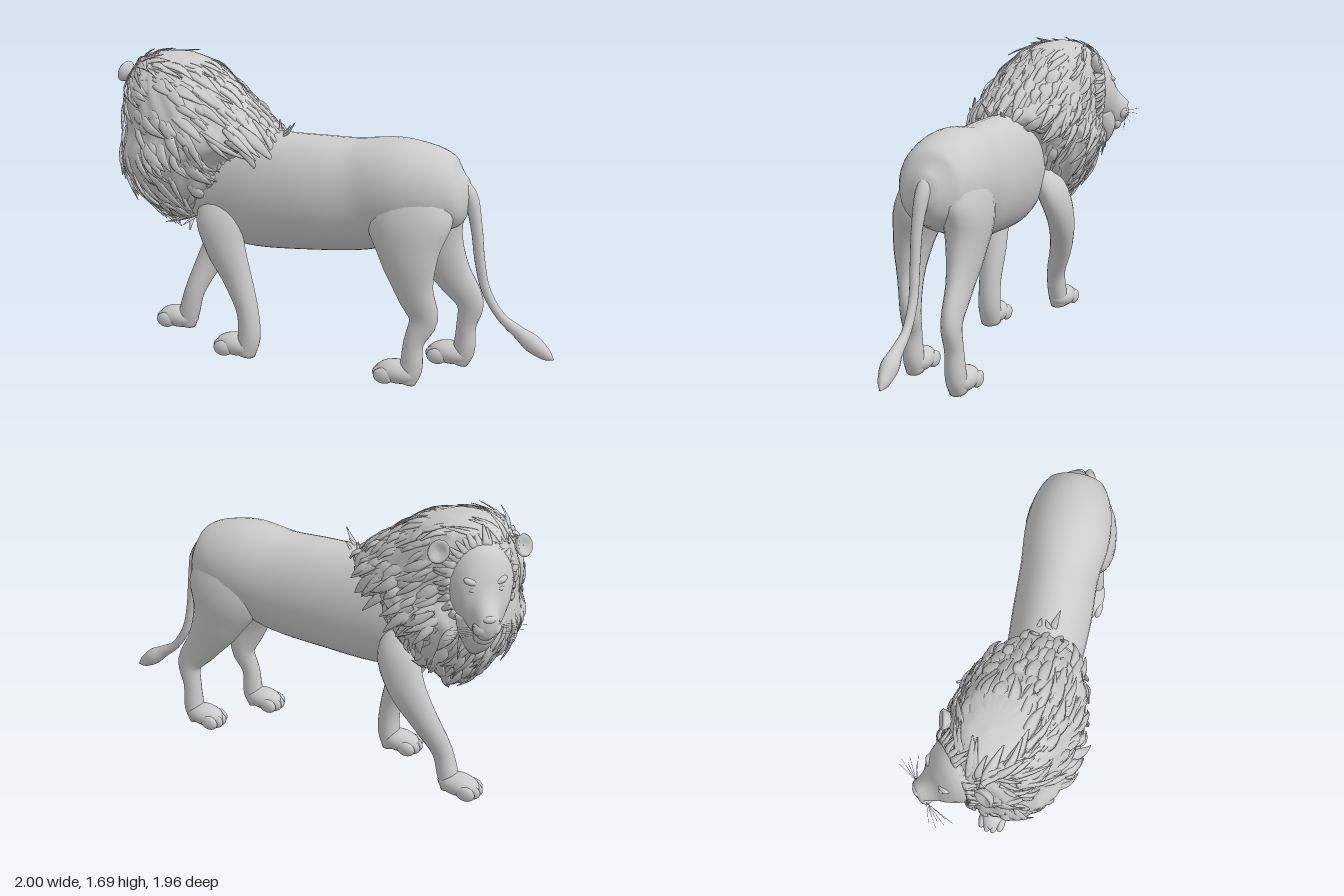
import * as THREE from 'three';
import { mergeGeometries } from 'three/addons/utils/BufferGeometryUtils.js';

const V = (x, y, z) => new THREE.Vector3(x, y, z);
const grey = new THREE.MeshStandardMaterial({ color: 0xcccccc });
const openGrey = new THREE.MeshStandardMaterial({ color: 0xcccccc, side: THREE.DoubleSide });
const LEFT = V(-0.62, 0, 0.78);    // the animal's own left
const FRONT = V(-0.75, 0, -0.66);  // the way it walks
const BACK = V(0.67, 0, 0.74);
const EARS = [-1, 1].map(s => V(-0.685 + s * 0.222, 1.555, -0.70));

let seed = 7;
const rand = () => (seed = (seed * 16807) % 2147483647) / 2147483647;

// Smooth closed loft through sections [x, y, z, halfWidth, halfDepth];
// halfWidth runs along "side". A fixed "axis" keeps all rings parallel.
function loft(sections, side, { radial = 20, steps = 4, axis = null, ripple = null } = {}) {
  const path = new THREE.CatmullRomCurve3(sections.map(s => V(s[0], s[1], s[2])));
  const size = new THREE.CatmullRomCurve3(sections.map(s => V(s[3], s[4], 0)), false, 'catmullrom', 0.4);
  const n = (sections.length - 1) * steps, pos = [], idx = [];
  for (let i = 0; i <= n; i++) {
    const t = i / n, c = path.getPoint(t), r = size.getPoint(t);
    const T = axis || path.getTangent(t);
    const s = side.clone().addScaledVector(T, -side.dot(T)).normalize();
    const o = T.clone().cross(s);
    for (let j = 0; j < radial; j++) {
      const a = j / radial * Math.PI * 2, k = ripple ? ripple(a, t) : 1;
      const p = c.clone().addScaledVector(s, Math.cos(a) * r.x * k).addScaledVector(o, Math.sin(a) * r.y * k);
      pos.push(p.x, p.y, p.z);
    }
  }
  for (let i = 0; i < n; i++) for (let j = 0; j < radial; j++) {
    const k = (j + 1) % radial, a = i * radial + j, b = i * radial + k;
    idx.push(a, b, a + radial, b, b + radial, a + radial);
  }
  const first = pos.length / 3, start = path.getPoint(0), end = path.getPoint(1);
  pos.push(start.x, start.y, start.z, end.x, end.y, end.z);
  for (let j = 0; j < radial; j++) {
    const k = (j + 1) % radial;
    idx.push(first, k, j, first + 1, n * radial + j, n * radial + k);
  }
  const g = new THREE.BufferGeometry();
  g.setAttribute('position', new THREE.Float32BufferAttribute(pos, 3));
  g.setIndex(idx);
  g.computeVertexNormals();
  return g;
}

function add(parent, name, geometry, material = grey) {
  const m = new THREE.Mesh(geometry, material);
  m.name = name;
  parent.add(m);
  return m;
}

function ball(parent, name, x, y, z, rx, ry, rz, turn = 0) {
  const m = add(parent, name, new THREE.SphereGeometry(1, 20, 14));
  m.position.set(x, y, z);
  m.scale.set(rx, ry, rz);
  m.rotation.y = turn;
  return m;
}

// Leg loft with a paw and four toes under its last section
function leg(parent, name, sections) {
  const g = new THREE.Group();
  g.name = name;
  parent.add(g);
  add(g, name + 'Limb', loft(sections, LEFT));
  const [x, , z] = sections[sections.length - 1];
  const turn = Math.atan2(-FRONT.x, -FRONT.z);
  const across = V(FRONT.z, 0, -FRONT.x);
  ball(g, 'paw', x + FRONT.x * 0.05, 0.07, z + FRONT.z * 0.05, 0.076, 0.066, 0.125, turn);
  for (let i = 0; i < 4; i++) {
    const k = i - 1.5, reach = 0.14 - Math.abs(k) * 0.017;
    const p = V(x, 0.054, z).addScaledVector(FRONT, reach).addScaledVector(across, k * 0.037);
    ball(g, 'toe', p.x, p.y, p.z, 0.025, 0.045, 0.058, turn);
  }
}

function buildHead(parent) {
  const head = new THREE.Group();
  head.name = 'head';
  parent.add(head);
  // Skull tapering into the muzzle
  add(head, 'skull', loft([
    [-0.67, 1.40, -0.58, 0.15, 0.20], [-0.675, 1.39, -0.74, 0.17, 0.22], [-0.675, 1.37, -0.80, 0.15, 0.205],
    [-0.67, 1.325, -0.85, 0.118, 0.17], [-0.665, 1.272, -0.89, 0.08, 0.128], [-0.66, 1.25, -0.93, 0.064, 0.094],
    [-0.66, 1.25, -0.963, 0.05, 0.064], [-0.66, 1.255, -0.977, 0.015, 0.025],
  ], V(1, 0, 0), { radial: 28, axis: V(0, 0, -1) }));
  ball(head, 'nose', -0.66, 1.288, -0.957, 0.036, 0.022, 0.025);
  ball(head, 'chin', -0.66, 1.165, -0.89, 0.055, 0.045, 0.045);
  add(head, 'chinBeard', loft([[-0.66, 1.24, -0.78, 0.12, 0.10], [-0.66, 1.16, -0.80, 0.11, 0.09],
    [-0.66, 1.10, -0.79, 0.085, 0.075], [-0.66, 1.02, -0.74, 0.04, 0.04]], V(1, 0, 0), { radial: 16 }));
  for (const s of [-1, 1]) {
    ball(head, 'lip', -0.66 + s * 0.032, 1.23, -0.93, 0.042, 0.042, 0.042);
    ball(head, 'eye', -0.67 + s * 0.07, 1.405, -0.856, 0.021, 0.014, 0.016);
    ball(head, 'brow', -0.67 + s * 0.068, 1.44, -0.836, 0.046, 0.02, 0.03).rotation.z = s * 0.3;
    // Rounded ear with a hollowed front
    const ear = add(head, 'ear', new THREE.LatheGeometry(
      [[0.001, -0.008], [0.03, -0.002], [0.046, 0.012], [0.055, 0], [0.04, -0.03], [0.001, -0.045]]
        .map(q => new THREE.Vector2(q[0], q[1])), 20), openGrey);
    ear.position.copy(EARS[(s + 1) / 2]);
    ear.rotation.set(-Math.PI / 2, -s * 0.5, -s * 0.5);
    ear.scale.z = 1.15;
    // Whiskers fan out from each lip
    for (let i = 0; i < 6; i++) {
      const a = V(-0.66 + s * 0.06, 1.245 - i * 0.009, -0.94);
      const b = V(-0.66 + s * (0.17 + (i % 2) * 0.03), 1.27 - i * 0.025, -0.98 + i * 0.022);
      add(head, 'whisker', new THREE.TubeGeometry(new THREE.LineCurve3(a, b), 1, 0.001, 4));
    }
  }
}

function buildMane(parent) {
  const mane = new THREE.Group();
  mane.name = 'mane';
  parent.add(mane);
  const base = loft([
    [-0.65, 0.71, -0.50, 0.02, 0.02], [-0.65, 0.77, -0.485, 0.12, 0.12], [-0.635, 0.88, -0.445, 0.235, 0.24],
    [-0.635, 1.00, -0.43, 0.315, 0.335], [-0.62, 1.15, -0.415, 0.36, 0.385], [-0.555, 1.28, -0.335, 0.33, 0.475],
    [-0.595, 1.40, -0.39, 0.30, 0.42], [-0.63, 1.52, -0.45, 0.265, 0.335], [-0.645, 1.62, -0.50, 0.20, 0.24],
    [-0.65, 1.67, -0.53, 0.11, 0.13], [-0.65, 1.688, -0.54, 0.01, 0.01],
  ], V(-0.74, 0, 0.67), {
    radial: 96, steps: 5, axis: V(0, 1, 0),
    ripple: (a, t) => 1 + 0.013 * Math.sin(a * 23 + t * 16) + 0.01 * Math.sin(a * 13 - t * 23),
  });
  add(mane, 'maneBody', base);
  // Overlapping locks swept back and down over the surface
  const P = base.attributes.position, N = base.attributes.normal, locks = [];
  for (let tries = 0; locks.length < 420 && tries < 4000; tries++) {
    const i = Math.floor(rand() * P.count);
    const p = V().fromBufferAttribute(P, i), n = V().fromBufferAttribute(N, i);
    const onFace = p.z < -0.64 && Math.abs(p.x + 0.67) < 0.2 && p.y > 1.16 && p.y < 1.62;
    if (p.y < 0.78 || p.y > 1.65 || onFace || EARS.some(e => e.distanceTo(p) < 0.1)) continue;
    const flow = BACK.clone().multiplyScalar(THREE.MathUtils.clamp((p.y - 0.85) * 1.8, 0.1, 1)).add(V(0, -0.65, 0));
    flow.x += (rand() - 0.5) * 0.45;
    flow.y += (rand() - 0.5) * 0.45;
    flow.addScaledVector(n, -flow.dot(n)).normalize();
    const crown = p.y > 1.52 ? 0.4 : 1;
    const L = 0.11 + rand() * 0.12, w = 0.014 + rand() * 0.022, lift = rand() * 0.01 * crown;
    const side = n.clone().cross(flow);
    const bend = (rand() - 0.5) * 0.08;
    const at = (f, h, a, b) => {
      const q = p.clone().addScaledVector(flow, f * L).addScaledVector(n, h).addScaledVector(side, bend * f * f);
      return [q.x, q.y, q.z, a, b];
    };
    locks.push(loft([at(-0.5, -0.024, w * 0.4, 0.005), at(0, lift * 0.4, w, 0.009 * crown),
      at(0.4, lift * 0.7, w * 0.8, 0.009 * crown), at(0.9, lift - 0.026, 0.003, 0.002)],
    side, { radial: 6, steps: 2 }));
  }
  add(mane, 'maneLocks', mergeGeometries(locks));
  // Uneven fringe framing the face
  const fringe = [];
  for (let i = 0; i < 44; i++) {
    const a = i / 44 * Math.PI * 2 + rand() * 0.1, c = Math.cos(a), s = Math.sin(a), long = 0.9 + rand() * 0.14;
    const q = (r, z, w, swing) => [-0.672 + Math.cos(a + swing) * r * 0.9, 1.38 + Math.sin(a + swing) * r * 1.15,
      z, w, w * 0.5];
    fringe.push(loft([q(0.165, -0.70, 0.014, 0), q(0.185, -0.755, 0.022, 0),
      q(0.21 * long, -0.745, 0.018, -c * 0.08), q(0.25 * long, -0.67, 0.004, -c * 0.2)],
    V(-s, c, 0), { radial: 6, steps: 2 }));
  }
  add(mane, 'faceFringe', mergeGeometries(fringe));
}

export function createModel() {
  const lion = new THREE.Group();
  lion.name = 'lion';

  // Torso from chest to rump
  add(lion, 'torso', loft([
    [-0.70, 0.95, -0.40, 0.06, 0.08], [-0.62, 0.97, -0.33, 0.12, 0.19], [-0.50, 0.975, -0.23, 0.165, 0.295],
    [-0.32, 0.975, -0.085, 0.20, 0.335], [-0.05, 0.985, 0.13, 0.22, 0.325], [0.15, 1.0, 0.28, 0.22, 0.312],
    [0.32, 1.05, 0.42, 0.24, 0.285], [0.45, 1.06, 0.52, 0.225, 0.25], [0.57, 1.06, 0.61, 0.165, 0.185],
    [0.625, 1.07, 0.65, 0.05, 0.07],
  ], LEFT, { radial: 36, steps: 5 }));

  leg(lion, 'leftHindLeg', [
    [0.40, 1.24, 0.48, 0.04, 0.12], [0.355, 1.10, 0.53, 0.115, 0.21], [0.305, 0.92, 0.585, 0.125, 0.235],
    [0.29, 0.73, 0.63, 0.094, 0.16], [0.315, 0.55, 0.655, 0.064, 0.105], [0.365, 0.39, 0.67, 0.052, 0.08],
    [0.32, 0.25, 0.65, 0.05, 0.056], [0.31, 0.10, 0.645, 0.056, 0.063], [0.29, 0.02, 0.63, 0.05, 0.055]]);
  leg(lion, 'rightHindLeg', [
    [0.41, 1.24, 0.46, 0.04, 0.12], [0.455, 1.10, 0.415, 0.115, 0.21], [0.49, 0.92, 0.385, 0.122, 0.235],
    [0.54, 0.73, 0.415, 0.094, 0.165], [0.62, 0.55, 0.475, 0.064, 0.11], [0.705, 0.39, 0.54, 0.052, 0.078],
    [0.695, 0.25, 0.525, 0.05, 0.056], [0.69, 0.10, 0.515, 0.056, 0.063], [0.67, 0.02, 0.495, 0.05, 0.055]]);
  leg(lion, 'leftForeleg', [
    [-0.51, 0.97, -0.20, 0.05, 0.07], [-0.54, 0.83, -0.11, 0.083, 0.135], [-0.52, 0.66, -0.07, 0.088, 0.115],
    [-0.46, 0.47, -0.04, 0.077, 0.082], [-0.415, 0.28, -0.005, 0.066, 0.062], [-0.41, 0.12, 0, 0.067, 0.065],
    [-0.43, 0.02, -0.015, 0.06, 0.06]]);
  leg(lion, 'rightForeleg', [
    [-0.42, 0.96, -0.29, 0.05, 0.07], [-0.36, 0.83, -0.37, 0.08, 0.125], [-0.385, 0.66, -0.44, 0.078, 0.112],
    [-0.49, 0.45, -0.485, 0.068, 0.08], [-0.595, 0.25, -0.49, 0.056, 0.06], [-0.625, 0.12, -0.51, 0.058, 0.062],
    [-0.64, 0.03, -0.53, 0.055, 0.055]]);

  // Tail with a tuft at the tip
  add(lion, 'tail', loft([
    [0.55, 1.13, 0.60, 0.04, 0.04], [0.615, 1.06, 0.655, 0.04, 0.042], [0.645, 0.90, 0.695, 0.03, 0.032],
    [0.665, 0.70, 0.715, 0.026, 0.028], [0.70, 0.53, 0.735, 0.024, 0.025], [0.77, 0.39, 0.79, 0.024, 0.025],
    [0.84, 0.32, 0.855, 0.032, 0.036], [0.90, 0.265, 0.905, 0.047, 0.05], [0.96, 0.21, 0.95, 0.03, 0.034],
    [0.995, 0.185, 0.975, 0.004, 0.004],
  ], LEFT, { radial: 14 }));

  buildMane(lion);
  buildHead(lion);
  return lion;
}
